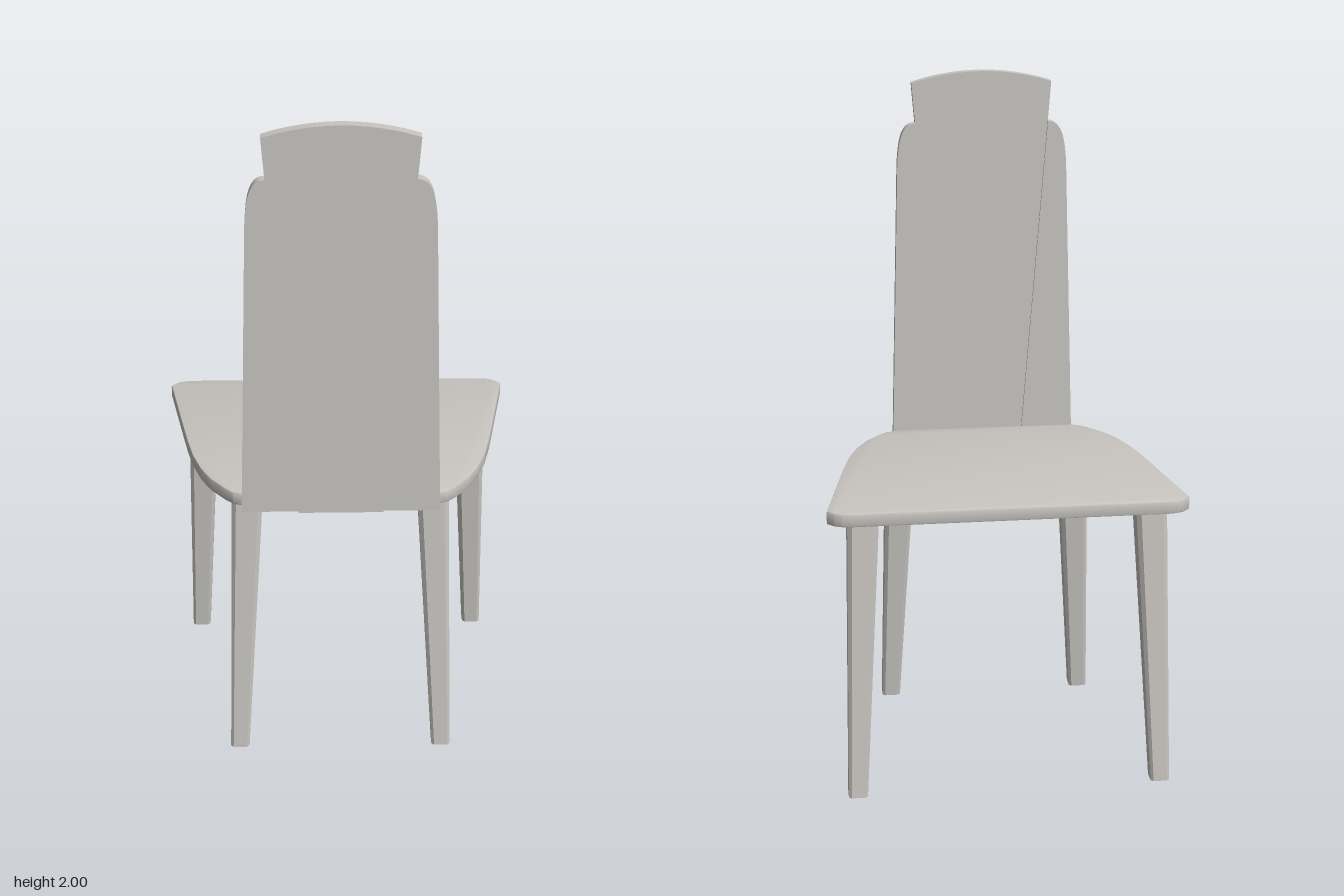
import * as THREE from 'three';
import { toCreasedNormals } from 'three/addons/utils/BufferGeometryUtils.js';

const SEAT_BOTTOM = 0.845;

export function createModel() {
  const chair = new THREE.Group();
  chair.name = 'chair';
  const paint = new THREE.MeshStandardMaterial({ color: 0xc8c5c0 });
  paint.name = 'warm grey';

  const add = (name, geometry) => {
    const mesh = new THREE.Mesh(geometry, paint);
    mesh.name = name;
    chair.add(mesh);
  };

  // Seat: wide straight edge at -z, sides curving in towards the backrest
  const bevel = 0.004;
  const half = [
    [0.45, -0.376], [0.475, -0.373], [0.495, -0.364], [0.513, -0.345],
    [0.487, -0.2], [0.46, -0.05], [0.446, 0.025], [0.427, 0.11], [0.4, 0.19],
    [0.37, 0.25], [0.328, 0.305], [0.305, 0.328], [0.27, 0.341],
  ];
  const outline = [...half, ...half.map(([x, z]) => [-x, z]).reverse()];
  const seat = new THREE.ExtrudeGeometry(
    new THREE.Shape(outline.map(([x, z]) => new THREE.Vector2(x, z))),
    { depth: 0.04 - 2 * bevel, bevelThickness: bevel, bevelSize: bevel, bevelSegments: 2 });
  seat.rotateX(Math.PI / 2).translate(0, SEAT_BOTTOM + 0.04 - bevel, 0);
  add('seat', toCreasedNormals(seat, 0.4));

  // Central back panel, flaring up to an arched top
  const panel = new THREE.Shape();
  panel.moveTo(-0.12, SEAT_BOTTOM);
  panel.lineTo(0.12, SEAT_BOTTOM);
  panel.lineTo(0.21, 1.967);
  panel.quadraticCurveTo(0, 2.033, -0.21, 1.967);
  const panelGeometry = new THREE.ExtrudeGeometry(panel, { depth: 0.034, bevelEnabled: false });
  add('backPanel', toCreasedNormals(panelGeometry.translate(0, 0, 0.35), 0.4));

  // Side wings fitted against the slanted panel edges, set slightly inwards
  for (const [side, s] of [['left', 1], ['right', -1]]) {
    const wing = new THREE.Shape();
    wing.moveTo(0.12 * s, SEAT_BOTTOM);
    wing.lineTo(0.282 * s, SEAT_BOTTOM);
    wing.lineTo(0.257 * s, 1.7);
    wing.bezierCurveTo(0.254 * s, 1.81, 0.238 * s, 1.848, 0.2 * s, 1.848);
    const geometry = new THREE.ExtrudeGeometry(wing, { depth: 0.034, bevelEnabled: false });
    add(side + 'BackWing', toCreasedNormals(geometry.translate(0, 0, 0.342), 0.4));
  }

  // Legs: chamfered square section, tapering and splaying downwards
  const legGeometry = (topX, topZ, topSize, footX, footZ, footSize) => {
    const a = 0.5, b = 0.36;
    const section = new THREE.Shape([
      [a, -b], [a, b], [b, a], [-b, a], [-a, b], [-a, -b], [-b, -a], [b, -a],
    ].map(([x, y]) => new THREE.Vector2(x, y)));
    const geometry = new THREE.ExtrudeGeometry(section, { depth: 1, bevelEnabled: false });
    geometry.rotateX(Math.PI / 2).translate(0, 1, 0);
    const p = geometry.attributes.position;
    for (let i = 0; i < p.count; i++) {
      const t = p.getY(i);
      const size = THREE.MathUtils.lerp(footSize, topSize, t);
      p.setXYZ(i,
        THREE.MathUtils.lerp(footX, topX, t) + p.getX(i) * size,
        t * SEAT_BOTTOM,
        THREE.MathUtils.lerp(footZ, topZ, t) + p.getZ(i) * size);
    }
    geometry.computeVertexNormals();
    return geometry;
  };
  for (const [side, s] of [['left', 1], ['right', -1]]) {
    add(side + 'LegUnderBackrest', legGeometry(0.268 * s, 0.25, 0.09, 0.305 * s, 0.317, 0.056));
    add(side + 'LegUnderWideEdge', legGeometry(0.414 * s, -0.285, 0.09, 0.448 * s, -0.356, 0.056));
  }

  return chair;
}
